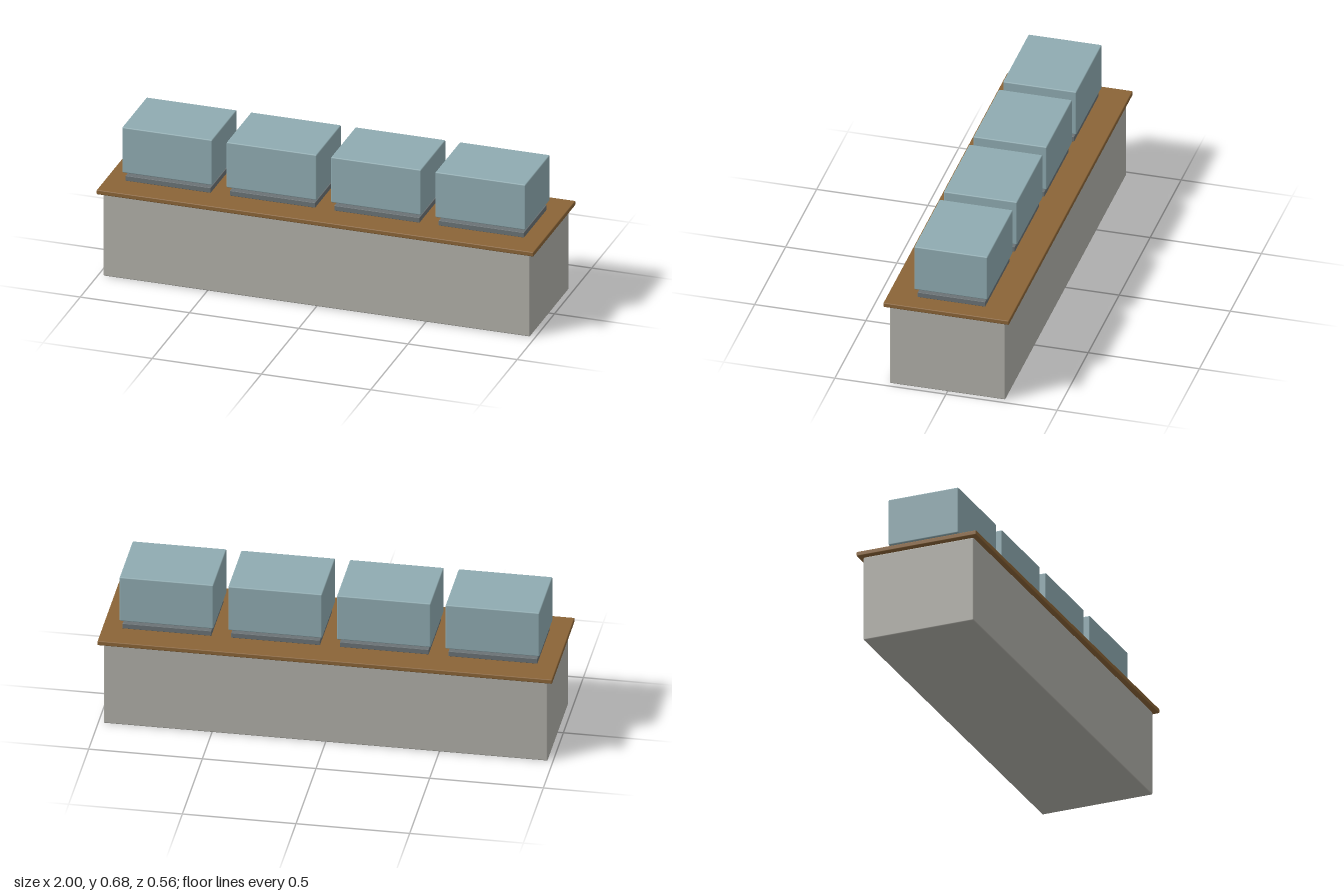
import * as THREE from 'three';
import { RoundedBoxGeometry } from 'three/addons/geometries/RoundedBoxGeometry.js';

const material = (name, color) => {
  const m = new THREE.MeshStandardMaterial({ color });
  m.name = name;
  return m;
};

export function createModel() {
  const stone = material('warm grey', 0xb0afa8);
  const wood = material('brown wood', 0x8a6437);
  const metal = material('dark grey', 0x6a7275);
  const glass = material('pale blue', 0x8fabb1);

  const model = new THREE.Group();
  model.name = 'displayCounter';

  // Softly edged block spanning a height range
  const block = (name, mat, width, bottom, top, depth, radius, x = 0) => {
    const geometry = new RoundedBoxGeometry(width, top - bottom, depth, 2, radius);
    const mesh = new THREE.Mesh(geometry, mat);
    mesh.name = name;
    mesh.position.set(x, (bottom + top) / 2, 0);
    return mesh;
  };

  // Counter body and overhanging top
  model.add(block('counterBody', stone, 1.953, 0, 0.395, 0.52, 0.005));
  model.add(block('counterTop', wood, 2, 0.395, 0.416, 0.565, 0.004));

  // Four cases hovering just above their plinths
  for (let i = 0; i < 4; i++) {
    const x = (i - 1.5) * 0.478;
    const unit = new THREE.Group();
    unit.name = `displayUnit${i + 1}`;
    unit.add(block('plinth', metal, 0.391, 0.416, 0.44, 0.304, 0.002, x));
    unit.add(block('case', glass, 0.413, 0.459, 0.675, 0.33, 0.005, x));
    model.add(unit);
  }
  return model;
}
